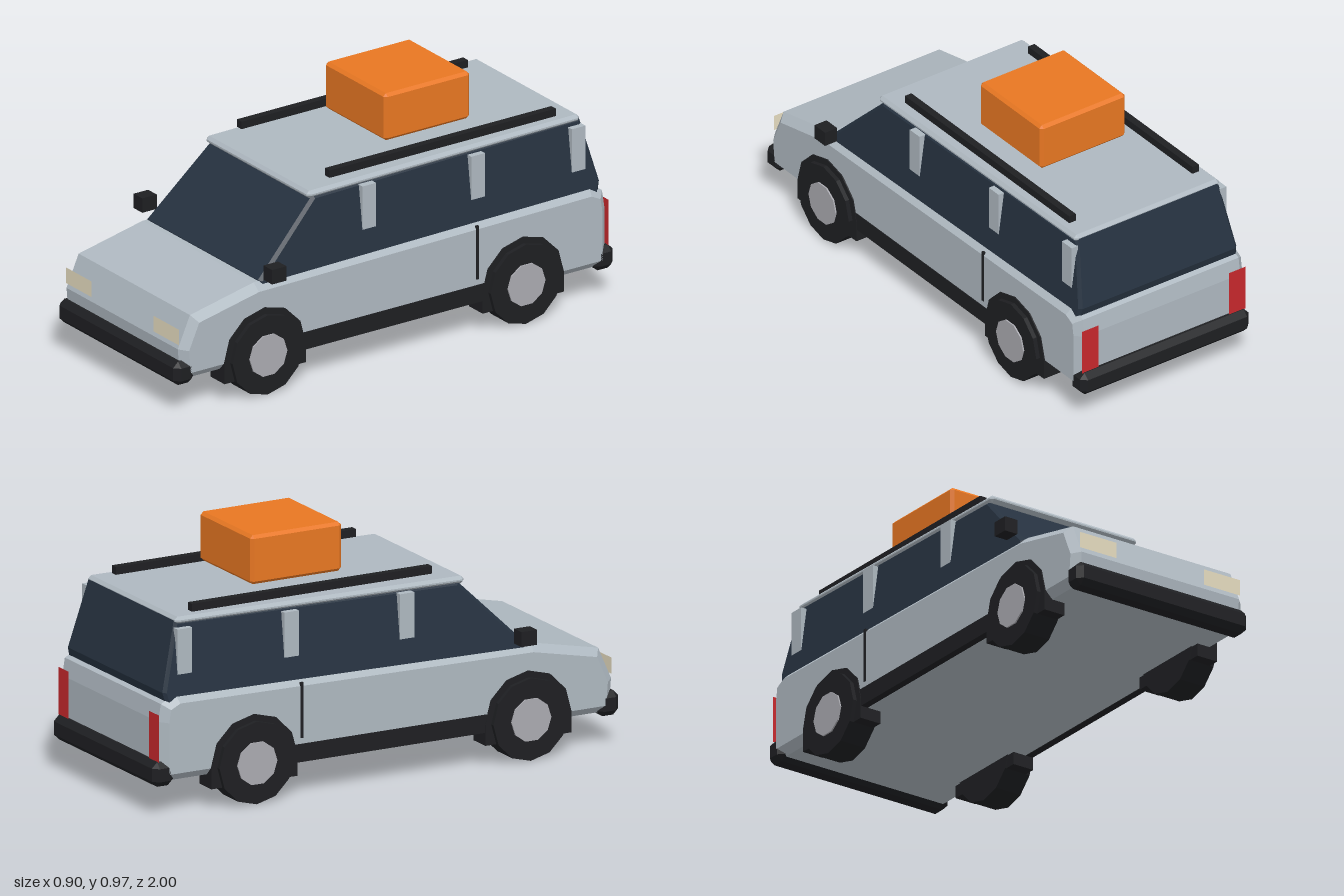
import * as THREE from 'three';
import { ConvexGeometry } from 'three/addons/geometries/ConvexGeometry.js';

const mat = (color, extra = {}) => new THREE.MeshStandardMaterial({ color, flatShading: true, ...extra });

export function createModel() {
  const car = new THREE.Group();
  car.name = 'estateCar';

  const paint = mat(0xaeb8c0);
  const glass = mat(0x263240);
  const black = mat(0x1e1f22);
  const hubGrey = mat(0xaaaab0);
  const orange = mat(0xe87722);
  const lampCream = mat(0xe6dcc0, { side: THREE.DoubleSide });
  const lampRed = mat(0xc8282c, { side: THREE.DoubleSide });

  const add = (name, geometry, material, x = 0, y = 0, z = 0) => {
    const mesh = new THREE.Mesh(geometry, material);
    mesh.name = name;
    mesh.position.set(x, y, z);
    car.add(mesh);
    return mesh;
  };

  // Box with every edge cut at 45 degrees
  const chamferBox = (w, h, d, c) => {
    const pts = [];
    for (const sx of [-1, 1]) for (const sy of [-1, 1]) for (const sz of [-1, 1])
      for (let axis = 0; axis < 3; axis++) {
        const inset = [c, c, c];
        inset[axis] = 0;
        pts.push(new THREE.Vector3(
          sx * (w / 2 - inset[0]), sy * (h / 2 - inset[1]), sz * (d / 2 - inset[2])));
      }
    return new ConvexGeometry(pts);
  };

  // Side profile of [z, y] points extruded across x between x0 and x1
  const sideExtrude = (profile, x0, x1, bevel = 0) => {
    const shape = new THREE.Shape(profile.map(([z, y]) => new THREE.Vector2(z, y)));
    const geometry = new THREE.ExtrudeGeometry(shape, {
      depth: x1 - x0 - 2 * bevel, bevelEnabled: bevel > 0,
      bevelSize: bevel, bevelThickness: bevel, bevelSegments: 1,
    });
    geometry.translate(0, 0, -x1 + bevel);
    return geometry.rotateY(-Math.PI / 2);
  };

  // Lower body
  add('body', sideExtrude([
    [-0.938, 0.16], [0.935, 0.16], [0.943, 0.25], [0.897, 0.354], [0.625, 0.412],
    [-0.89, 0.43], [-0.93, 0.41], [-0.938, 0.36],
  ], -0.39, 0.39, 0.03), paint);

  // Glasshouse, narrowing towards the roof
  const cabin = sideExtrude([
    [0.595, 0.44], [0.33, 0.70], [-0.87, 0.72], [-0.935, 0.47], [-0.925, 0.43], [0.595, 0.43],
  ].reverse(), -0.37, 0.37, 0.012);
  const pos = cabin.attributes.position;
  for (let i = 0; i < pos.count; i++) {
    const t = (pos.getY(i) - 0.44) / 0.27;
    pos.setX(i, pos.getX(i) * (1 - 0.1 * t));
  }
  cabin.computeVertexNormals();
  add('glasshouse', cabin, glass);

  // Roof, rising slightly to the rear
  add('roof', chamferBox(0.67, 0.03, 1.24, 0.012), paint, 0, 0.724, -0.258).rotation.x = 0.012;

  // Cargo box
  add('cargoBox', chamferBox(0.394, 0.19, 0.39, 0.012), orange, 0, 0.875, -0.28);

  // Bumpers
  add('frontBumper', chamferBox(0.78, 0.095, 0.09, 0.022), black, 0, 0.162, 0.955);
  add('rearBumper', chamferBox(0.78, 0.095, 0.09, 0.022), black, 0, 0.162, -0.955);

  // Wheel arch outline around a wheel centre at y = 0.16
  const arch = [[-0.185, 0.08]];
  for (let i = 6; i >= 0; i--) {
    const a = (i * Math.PI) / 6;
    arch.push([0.185 * Math.cos(a), 0.16 + 0.185 * Math.sin(a)]);
  }
  arch.push([0.185, 0.08]);
  arch.reverse();

  const tyre = new THREE.CylinderGeometry(0.16, 0.16, 0.112, 12).rotateZ(Math.PI / 2);
  const hub = new THREE.CylinderGeometry(0.085, 0.085, 0.03, 10).rotateZ(Math.PI / 2);

  for (const s of [1, -1]) {
    const side = s > 0 ? 'left' : 'right';

    // Wheels and arches
    for (const [end, z] of [['Front', 0.6], ['Rear', -0.575]]) {
      const x0 = s > 0 ? 0.305 : -0.395;
      add(`${side}${end}Arch`, sideExtrude(arch, x0, x0 + 0.09), black, 0, 0, z);
      add(`${side}${end}Tyre`, tyre, black, s * 0.356, 0.16, z);
      add(`${side}${end}Hub`, hub, hubGrey, s * 0.403, 0.16, z);
    }

    // Sill and door seam
    add(`${side}Sill`, new THREE.BoxGeometry(0.03, 0.07, 0.9), black, s * 0.378, 0.165, 0.01);
    add(`${side}DoorSeam`, new THREE.BoxGeometry(0.01, 0.215, 0.012), black, s * 0.387, 0.33, -0.37);

    // Window pillars
    for (const z of [0.1, -0.395, -0.853])
      add(`${side}Pillar`, new THREE.BoxGeometry(0.03, 0.175, 0.062), paint, s * 0.343, 0.62, z);

    // Roof rail and door mirror
    add(`${side}RoofRail`, new THREE.BoxGeometry(0.03, 0.03, 1.03), black, s * 0.285, 0.764, -0.275);
    add(`${side}Mirror`, new THREE.BoxGeometry(0.056, 0.058, 0.066), black, s * 0.42, 0.487, 0.573);

    // Lamps
    add(`${side}Headlight`, new THREE.PlaneGeometry(0.166, 0.063), lampCream, s * 0.283, 0.304, 0.972);
    add(`${side}TailLight`, new THREE.PlaneGeometry(0.076, 0.185), lampRed, s * 0.34, 0.3, -0.975)
      .rotation.y = Math.PI;
  }
  return car;
}
